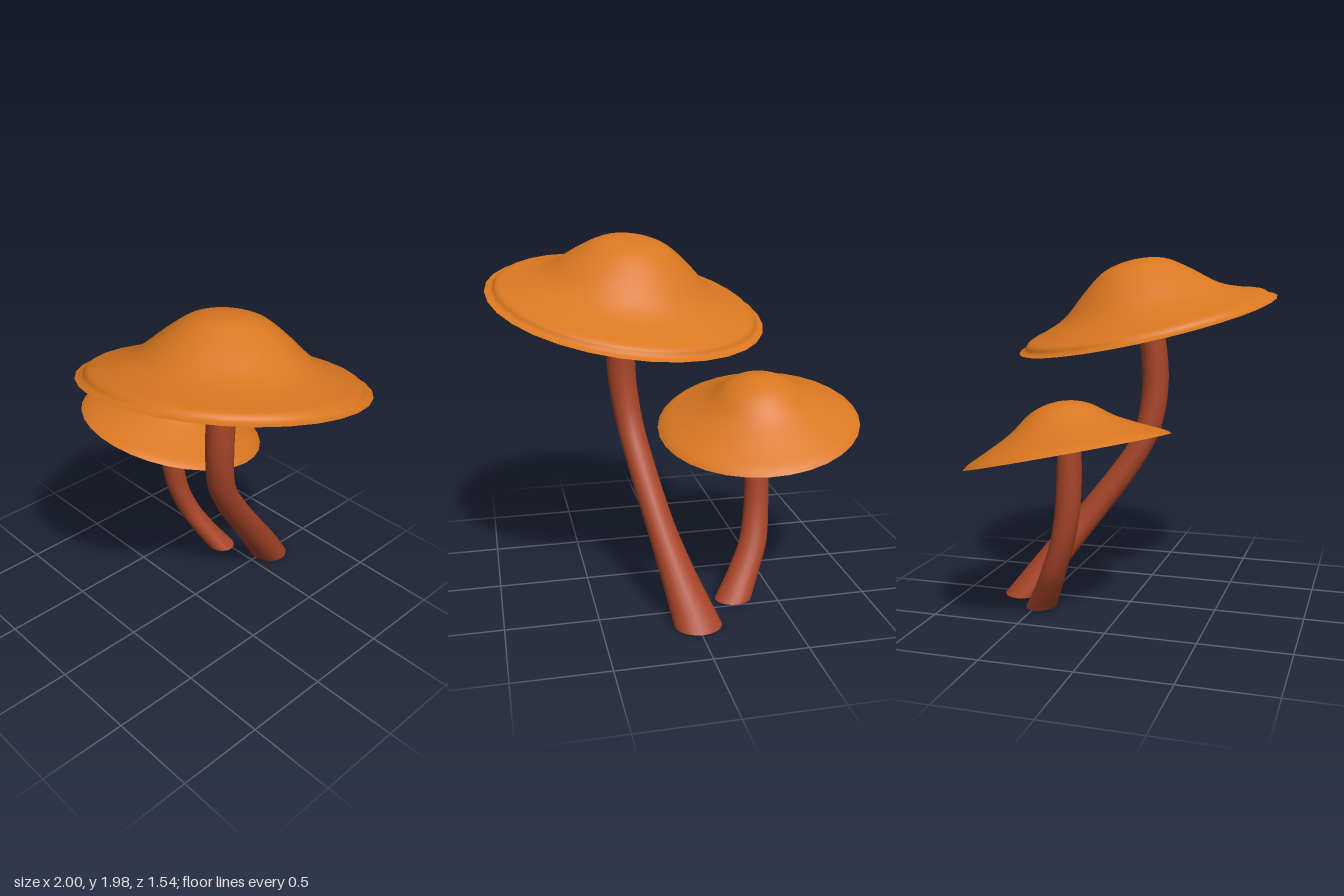
import * as THREE from 'three';
import { toCreasedNormals } from 'three/addons/utils/BufferGeometryUtils.js';

const capMaterial = new THREE.MeshStandardMaterial({ color: 0xd97720 });
const stemMaterial = new THREE.MeshStandardMaterial({ color: 0xa84528 });

const toPoints = (pairs) => pairs.map(([r, y]) => new THREE.Vector2(r, y));

// Bell-shaped cap with a hollow underside, tilted so its axis follows "axis"
function makeCap(name, center, axis, topProfile, hollow) {
  const cap = new THREE.Group();
  cap.name = name;
  const rim = topProfile[0][0];

  const topCurve = new THREE.SplineCurve(toPoints(topProfile));
  const top = new THREE.Mesh(new THREE.LatheGeometry(topCurve.getPoints(32), 32), capMaterial);
  top.name = name + 'Top';

  const under = [[0, hollow], [rim * 0.35, hollow * 0.85], [rim * 0.7, hollow * 0.45], [rim, 0]];
  const underCurve = new THREE.SplineCurve(toPoints(under));
  const underside = new THREE.Mesh(new THREE.LatheGeometry(underCurve.getPoints(10), 32), capMaterial);
  underside.name = name + 'Underside';

  cap.add(top, underside);
  cap.position.set(...center);
  cap.quaternion.setFromUnitVectors(new THREE.Vector3(0, 1, 0), new THREE.Vector3(...axis).normalize());
  return cap;
}

// Bent stem: a cylinder whose level rings follow rows of [x, y, z, radiusX, radiusZ]
function makeStem(name, rows) {
  const path = new THREE.CatmullRomCurve3(rows.map(([x, y, z]) => new THREE.Vector3(x, y, z)));
  const radii = new THREE.CatmullRomCurve3(rows.map((r) => new THREE.Vector3(r[3], 0, r[4])));
  const geometry = new THREE.CylinderGeometry(1, 1, 1, 20, 28);
  const pos = geometry.attributes.position;
  for (let i = 0; i < pos.count; i++) {
    const t = THREE.MathUtils.clamp(pos.getY(i) + 0.5, 0, 1);
    const c = path.getPoint(t);
    const r = radii.getPoint(t);
    pos.setXYZ(i, c.x + pos.getX(i) * r.x, c.y, c.z + pos.getZ(i) * r.z);
  }
  const stem = new THREE.Mesh(toCreasedNormals(geometry, 0.7), stemMaterial);
  stem.name = name;
  return stem;
}

export function createModel() {
  const model = new THREE.Group();
  model.name = 'mushrooms';

  // Tall mushroom: wide cap with a stepped lip
  const tall = new THREE.Group();
  tall.name = 'tallMushroom';
  tall.add(
    makeCap('tallCap', [0.245, 1.605, 0.03], [-0.126, 1, -0.2], [
      [0.758, 0], [0.722, 0.012], [0.695, 0.042], [0.6, 0.072], [0.46, 0.13],
      [0.32, 0.243], [0.2, 0.328], [0.1, 0.36], [0, 0.37],
    ], 0.09),
    makeStem('tallStem', [
      [-0.005, 0, -0.655, 0.128, 0.115],
      [0.075, 0.25, -0.467, 0.095, 0.11],
      [0.135, 0.46, -0.305, 0.08, 0.1],
      [0.195, 0.725, -0.107, 0.077, 0.09],
      [0.238, 0.95, 0.025, 0.077, 0.077],
      [0.267, 1.2, 0.073, 0.08, 0.077],
      [0.268, 1.45, 0.065, 0.082, 0.077],
      [0.253, 1.67, 0.022, 0.088, 0.088],
      [0.25, 1.74, 0.01, 0.088, 0.088],
    ]),
  );

  // Short mushroom: smaller cap without a step
  const short = new THREE.Group();
  short.name = 'shortMushroom';
  short.add(
    makeCap('shortCap', [-0.445, 0.965, -0.215], [0.108, 1, -0.22], [
      [0.556, 0], [0.52, 0.027], [0.42, 0.073], [0.28, 0.145],
      [0.17, 0.225], [0.08, 0.26], [0, 0.27],
    ], 0.1),
    makeStem('shortStem', [
      [-0.253, 0.025, -0.455, 0.102, 0.085],
      [-0.33, 0.15, -0.385, 0.088, 0.075],
      [-0.4, 0.29, -0.32, 0.079, 0.069],
      [-0.435, 0.47, -0.255, 0.07, 0.066],
      [-0.446, 0.68, -0.217, 0.067, 0.068],
      [-0.447, 0.9, -0.207, 0.067, 0.067],
      [-0.443, 1.12, -0.205, 0.067, 0.067],
    ]),
  );

  model.add(tall, short);
  return model;
}
